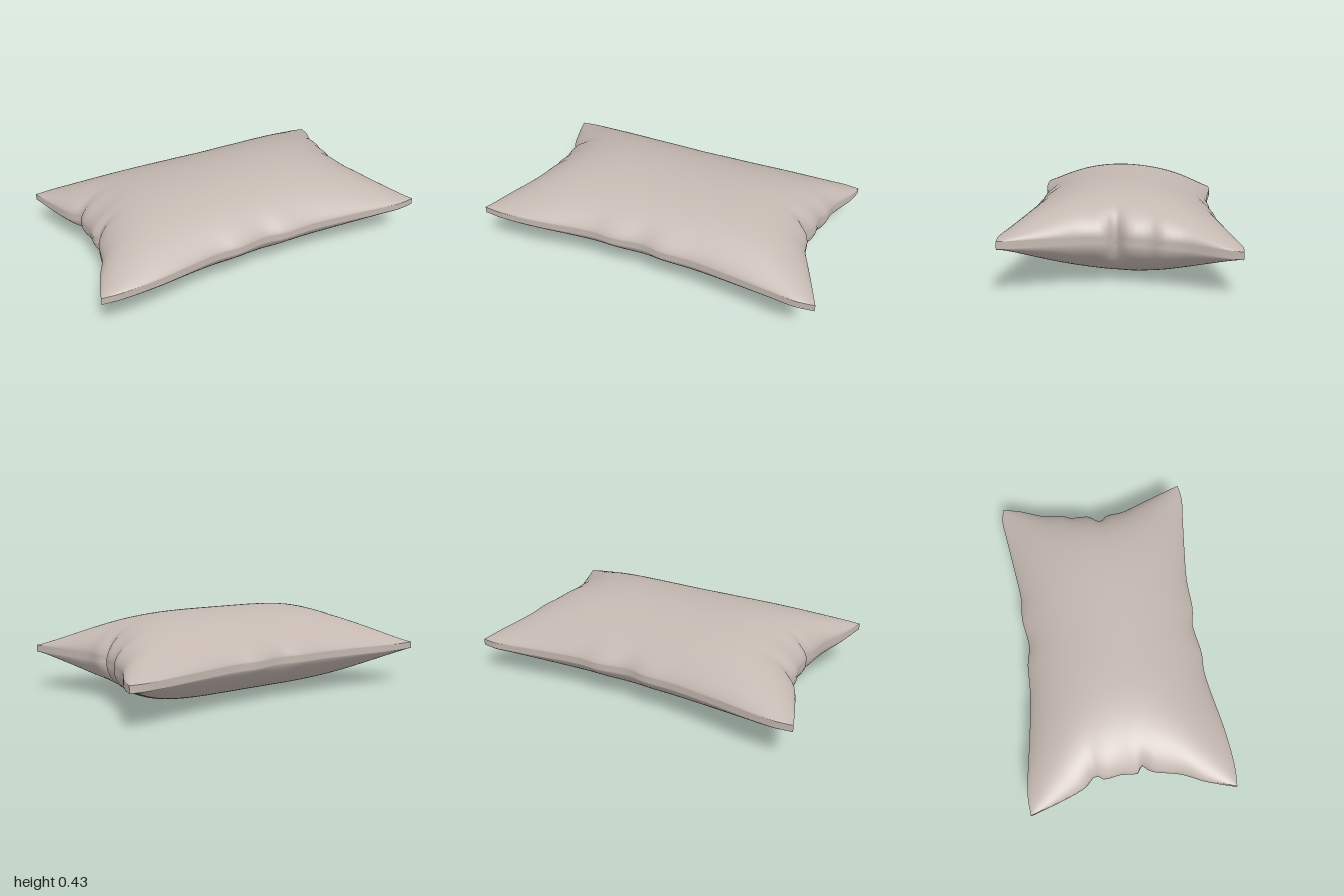
import * as THREE from 'three';

const NU = 80, NV = 60;      // grid along the length and across the width
const SEAM = 0.017;          // half thickness of the seam band

// Seam edge in plan from [x, z] points: the fine rippled line and its broad sweep
function edge(pts) {
  const fine = new THREE.CatmullRomCurve3(pts.map(([x, z]) => new THREE.Vector3(x, 0, z)));
  const broad = new THREE.CatmullRomCurve3([0, 1 / 3, 2 / 3, 1].map(k => fine.getPointAt(k)));
  return { fine, broad };
}
const back = edge([[-1, -0.19], [-0.91, -0.23], [-0.6, -0.3], [-0.4, -0.35], [-0.24, -0.405], [-0.15, -0.42],
  [0, -0.5], [0.1, -0.53], [0.3, -0.63], [0.5, -0.735], [0.56, -0.765], [0.64, -0.785]]);
const front = edge([[-0.65, 0.775], [-0.56, 0.75], [-0.4, 0.68], [-0.1, 0.52], [0, 0.49], [0.15, 0.415],
  [0.24, 0.4], [0.4, 0.34], [0.6, 0.29], [0.8, 0.245], [0.91, 0.22], [0.995, 0.18]]);
const left = edge([[-1, -0.19], [-0.9, -0.06], [-0.81, 0.04], [-0.74, 0.08], [-0.75, 0.12], [-0.71, 0.2],
  [-0.68, 0.29], [-0.64, 0.29], [-0.66, 0.34], [-0.645, 0.5], [-0.655, 0.62], [-0.65, 0.775]]);
const right = edge([[0.64, -0.785], [0.65, -0.7], [0.64, -0.53], [0.66, -0.42], [0.65, -0.39], [0.68, -0.28],
  [0.645, -0.21], [0.7, -0.19], [0.75, -0.1], [0.82, -0.02], [0.9, 0.07], [0.995, 0.18]]);

// Grid lines gather towards the seam, where the cushion curves most
const ease = k => 0.5 - 0.5 * Math.cos(Math.PI * k);

// Plan position: broad edges blended across, ripples fading inwards from the seam
function plan(u, v) {
  const p = new THREE.Vector3();
  const add = (q, w) => p.addScaledVector(q, w);
  for (const [e, k, d] of [[back, u, v], [front, u, 1 - v], [left, v, u], [right, v, 1 - u]]) {
    const sweep = e.broad.getPointAt(k), fade = Math.exp(-d / 0.06);
    add(sweep, 1 - d - fade);
    add(e.fine.getPointAt(k), fade);
  }
  add(back.broad.points[0], -(1 - u) * (1 - v)); add(back.broad.points[3], -u * (1 - v));
  add(front.broad.points[0], -(1 - u) * v); add(front.broad.points[3], -u * v);
  p.y = 0.214 + 0.03 * p.z + 0.02 * p.z ** 3;      // the seam tilts towards the back
  return p;
}

// Fullness above or below the seam, with slight gathers at the pinched ends
function puff(u, v) {
  const s = 2 * u - 1, t = 2 * v - 1;
  const body = Math.pow(Math.max(0, 1 - s ** 4), 0.57) * Math.pow(Math.max(0, 1 - t * t), 0.74);
  const gather = Math.exp(-(((1 - Math.abs(s)) / 0.12) ** 2)) * Math.exp(-((t / 0.5) ** 2));
  return 0.197 * body * (1 + 0.06 * gather * Math.sin(t * 15 + s));
}

function makeGeometry(positions, indices) {
  const g = new THREE.BufferGeometry();
  g.setAttribute('position', new THREE.Float32BufferAttribute(positions, 3));
  g.setIndex(indices);
  g.computeVertexNormals();
  return g;
}

// One bulging fabric panel: side = 1 for the top, -1 for the bottom
function panel(side) {
  const pos = [], idx = [];
  for (let j = 0; j <= NV; j++) {
    for (let i = 0; i <= NU; i++) {
      const u = ease(i / NU), v = ease(j / NV), p = plan(u, v);
      pos.push(p.x, p.y + side * (SEAM + puff(u, v)), p.z);
      if (i < NU && j < NV) {
        const a = j * (NU + 1) + i, b = a + 1, c = a + NU + 1, d = c + 1;
        if (side > 0) idx.push(a, c, b, b, c, d);
        else idx.push(a, b, c, b, d, c);
      }
    }
  }
  return makeGeometry(pos, idx);
}

// Thin band joining the panels, with a sharp break at each corner
function seamBand() {
  const pos = [], idx = [];
  const sides = [
    [NU, k => [k, 0]], [NV, k => [1, k]],
    [NU, k => [1 - k, 1]], [NV, k => [0, 1 - k]],
  ];
  for (const [n, at] of sides) {
    for (let i = 0; i <= n; i++) {
      const p = plan(...at(ease(i / n))), a = pos.length / 3;
      pos.push(p.x, p.y - SEAM, p.z, p.x, p.y + SEAM, p.z);
      if (i < n) idx.push(a, a + 1, a + 2, a + 1, a + 3, a + 2);
    }
  }
  return makeGeometry(pos, idx);
}

export function createModel() {
  const group = new THREE.Group();
  group.name = 'pillow';
  const fabric = new THREE.MeshStandardMaterial({ color: 0xc4b8b1 });
  const parts = { topPanel: panel(1), bottomPanel: panel(-1), seamBand: seamBand() };
  for (const [name, geometry] of Object.entries(parts)) {
    const mesh = new THREE.Mesh(geometry, fabric);
    mesh.name = name;
    group.add(mesh);
  }
  return group;
}
